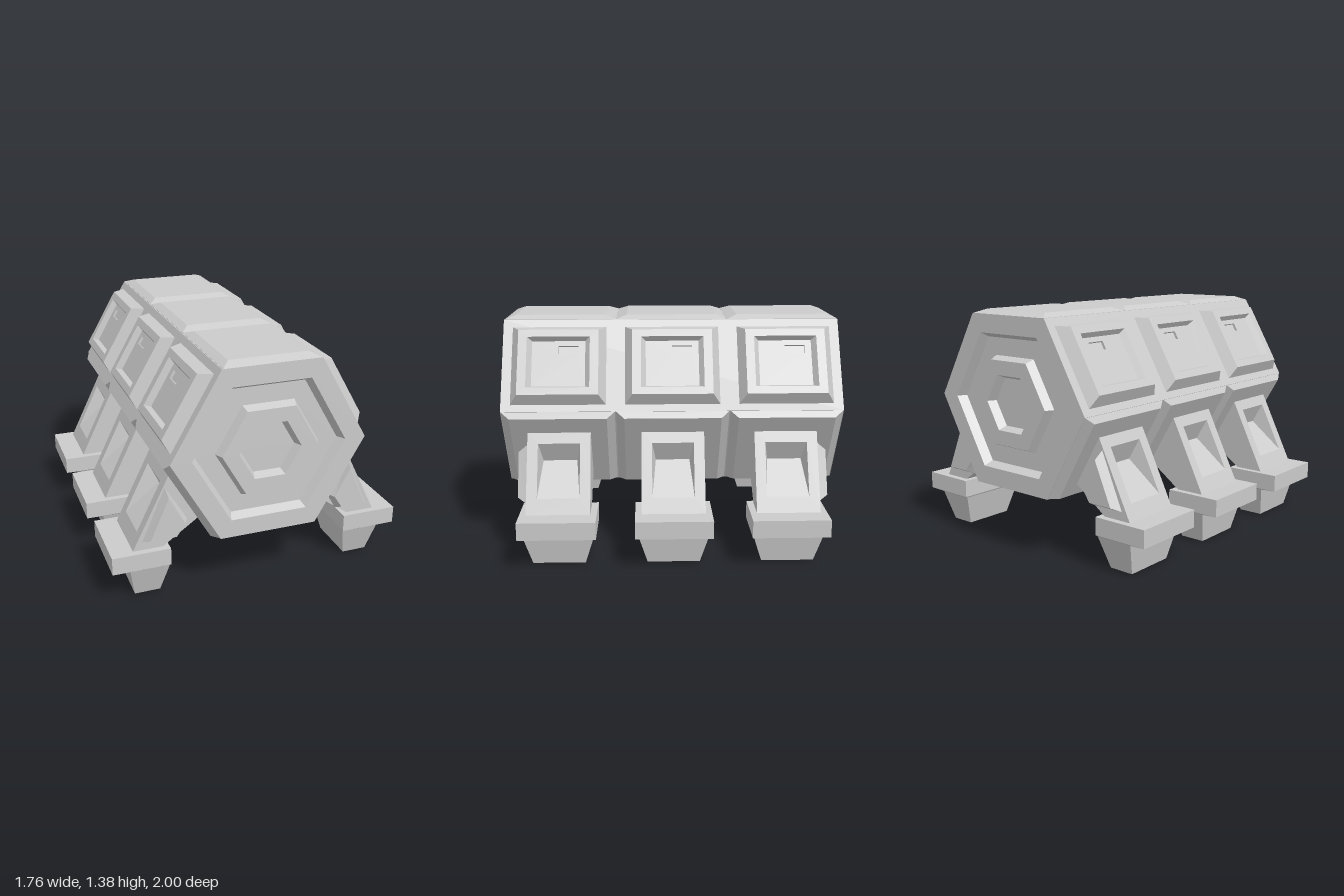
import * as THREE from 'three';

const MID_Y = 0.865, PITCH = 2 / 3, C = Math.cos(Math.PI / 6), S = 0.5;
const material = new THREE.MeshStandardMaterial({ color: 0xcccccc, flatShading: true });

// Skins a stack of equal-sized rings (counter-clockwise seen from the last one) and caps both ends.
// sx, sz = -1 mirror the part.
function loft(name, rings, sx = 1, sz = 1) {
  const pos = [];
  const tri = (a, b, c) => {
    for (const p of sx * sz < 0 ? [a, c, b] : [a, b, c]) pos.push(p[0] * sx, p[1], p[2] * sz);
  };
  const n = rings[0].length;
  for (let k = 0; k + 1 < rings.length; k++) {
    const a = rings[k], b = rings[k + 1];
    for (let i = 0; i < n; i++) {
      const j = (i + 1) % n;
      tri(a[i], a[j], b[j]);
      tri(a[i], b[j], b[i]);
    }
  }
  const first = rings[0], last = rings[rings.length - 1];
  for (let i = 1; i + 1 < n; i++) {
    tri(first[0], first[i + 1], first[i]);
    tri(last[0], last[i], last[i + 1]);
  }
  const geometry = new THREE.BufferGeometry();
  geometry.setAttribute('position', new THREE.Float32BufferAttribute(pos, 3));
  geometry.computeVertexNormals();
  const mesh = new THREE.Mesh(geometry, material);
  mesh.name = name;
  return mesh;
}

// Rectangle u0..u1, v0..v1 at height h in a given frame
const rect = (frame, u0, u1, v0, v1, h) =>
  [[u0, v0], [u1, v0], [u1, v1], [u0, v1]].map(([u, v]) => frame(u, v, h));

// Frames: u, v along the surface, h outward
const level = (z, x, y) => [x, y, z];
const upperSide = (t, z, n) => [C * n - S * t, S * n + C * t, z];
const lowerSide = (t, z, n) => [C * n + S * t, -S * n + C * t, z];

function hexRing(r, z) {
  return Array.from({ length: 6 }, (_, i) => {
    const a = i * Math.PI / 3;
    return [r * Math.cos(a), MID_Y + r * Math.sin(a), z];
  });
}

// Hexagonal hull with stepped rings sunk into both ends
function hull() {
  const steps = [[0.16, 0.95], [0.183, 1], [0.28, 1], [0.303, 0.95], [0.42, 0.95], [0.45, 1], [0.572, 1]];
  const back = steps.map(([r, z]) => hexRing(r, -z));
  const front = steps.map(([r, z]) => hexRing(r, z)).reverse();
  return loft('hull', [...back, ...front]);
}

function roofPanel(z) {
  return loft('roofPanel', [
    rect(level, z - 0.333, z + 0.333, -0.28, 0.28, 1.355),
    rect(level, z - 0.333, z + 0.333, -0.28, 0.28, 1.362),
    rect(level, z - 0.27, z + 0.27, -0.23, 0.23, 1.385),
  ]);
}

// Bevelled window pod with a sunk pane and a small slot
function windowPod(z, side) {
  const t = 0.747;
  const ring = (a, b, n) => rect(upperSide, t - a, t + a, z - b, z + b, n);
  const slot = (n) => rect(upperSide, t + 0.06, t + 0.11, z - 0.117, z, n);
  return loft('windowPod', [
    ring(0.247, 0.283, 0.92), ring(0.2, 0.235, 0.993),
    ring(0.156, 0.184, 0.993), ring(0.14, 0.156, 0.96),
    slot(0.96), slot(0.945),
  ], side);
}

function lowerPanel(z, side) {
  return loft('lowerPanel', [
    rect(lowerSide, 0.465, 1.035, z - 0.333, z + 0.333, 0.06),
    rect(lowerSide, 0.485, 1.012, z - 0.283, z + 0.283, 0.1),
  ], side);
}

// Slanted leg with a wedge-shaped notch in its outer face
function leg(z, side) {
  const ring = (bottom, top, wBottom, wTop = wBottom) => [
    [...bottom, z - wBottom], [...top, z - wTop], [...top, z + wTop], [...bottom, z + wBottom],
  ];
  return loft('leg', [
    ring([0.36, 0.45], [0.4, 0.68], 0.185),
    ring([0.575, 0.298], [0.45, 0.71], 0.185),
    ring([0.75, 0.298], [0.53, 0.745], 0.185),
    ring([0.708, 0.383], [0.566, 0.672], 0.123),
    ring([0.708, 0.383], [0.51, 0.554], 0.123, 0.1),
  ], side);
}

// Raised plate on the outward side of an end leg
function legPlate(side, end) {
  const at = (points, z) => points.map(([x, y]) => [x, y, z]);
  return loft('legPlate', [
    at([[0.56, 0.67], [0.43, 0.45], [0.493, 0.345], [0.7, 0.345]], 0.845),
    at([[0.553, 0.62], [0.46, 0.45], [0.51, 0.375], [0.66, 0.375]], 0.905),
  ], side, end);
}

// Tapered foot under a wide ankle slab
function foot(z, side) {
  const ring = (x0, x1, w, y) => rect(level, z - w, z + w, x0, x1, y);
  return loft('foot', [
    ring(0.59, 0.74, 0.153, 0), ring(0.545, 0.775, 0.21, 0.186),
    ring(0.54, 0.878, 0.223, 0.195), ring(0.54, 0.878, 0.223, 0.298),
  ], side);
}

export function createModel() {
  const model = new THREE.Group();
  model.name = 'walkerModule';
  model.add(hull());
  for (const k of [-1, 0, 1]) {
    const z = k * PITCH;
    const section = new THREE.Group();
    section.name = ['backSection', 'middleSection', 'frontSection'][k + 1];
    section.add(roofPanel(z));
    for (const side of [1, -1]) {
      section.add(windowPod(z, side), lowerPanel(z, side), leg(z, side), foot(z, side));
      if (k) section.add(legPlate(side, k));
    }
    model.add(section);
  }
  return model;
}
